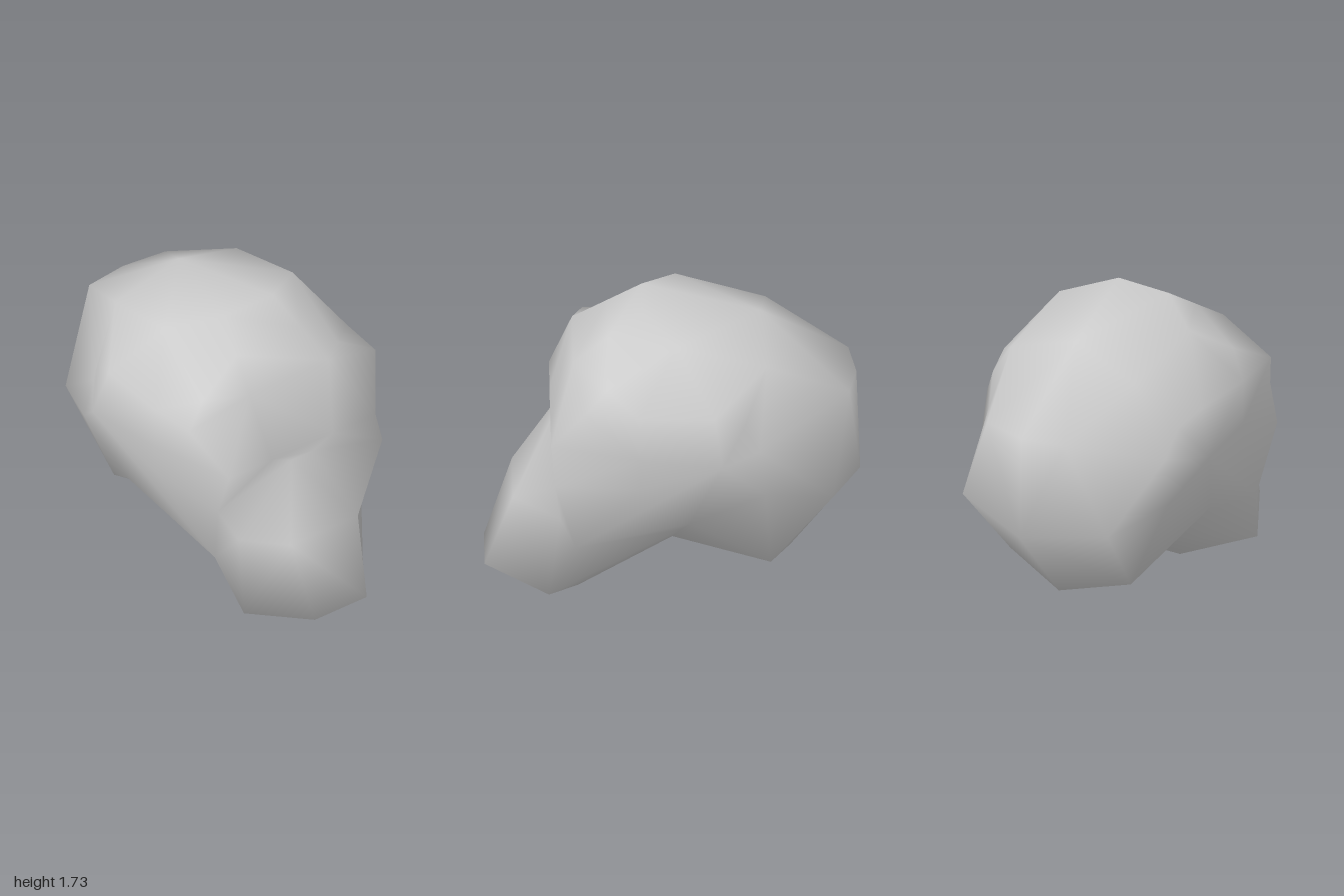
import * as THREE from 'three';
import { mergeVertices } from 'three/addons/utils/BufferGeometryUtils.js';

// Half profiles around the head, from snout tip over the crown and back under:
// each row lists [centre, middle, outer] points on the +x side.
const jawCorner = [0.39, 0.15, 0.66];
const snoutSide = [0.48, 0.48, 0.52];
const jawHinge = [0.61, 0.69, -0.09];
const browEnd = [0.63, 1.33, 0.18];
const rows = [
  [[0.17, 0.22, 1.00], jawCorner, snoutSide],                               // snout tip
  [[0.22, 0.65, 0.85], [0.38, 0.60, 0.60], snoutSide],                      // snout bridge
  [[0.07, 1.03, 0.65], [0.54, 0.88, 0.63], [0.62, 0.90, 0.18]],             // cheekbone
  [[0.20, 1.09, 0.65], [0.48, 1.09, 0.65], [0.63, 1.08, 0.18]],             // eye hollow
  [[0.26, 1.48, 0.53], [0.61, 1.35, 0.47], browEnd],                        // brow
  [[0.21, 1.605, 0.345], [0.445, 1.405, 0.355], browEnd],                   // dent behind the brow
  [[0.16, 1.73, 0.16], [0.42, 1.65, -0.02], [0.64, 1.33, -0.22]],           // crown
  [[0.00, 1.65, -0.47], [0.40, 1.52, -0.50], [0.60, 1.27, -0.38]],          // rear crown
  [[0.00, 1.28, -0.98], [0.25, 1.29, -0.94], [0.57, 1.10, -0.46]],          // back
  [[0.00, 0.70, -1.00], [0.47, 0.77, -0.85], [0.61, 0.86, -0.49]],          // lower back
  [[0.00, 0.24, -0.63], [0.39, 0.34, -0.52], jawHinge],                     // skull base
  [[0.00, 0.29, 0.00], [0.30, 0.49, -0.04], jawHinge],                      // throat
  [[0.00, 0.00, 0.50], jawCorner, snoutSide],                               // chin
];
const temple = [0.72, 1.08, -0.26];

const mirror = ([x, y, z]) => [-x, y, z];
const dist = (a, b) => Math.hypot(a[0] - b[0], a[1] - b[1], a[2] - b[2]);

function skin() {
  // Full strip of each row, from one temple across the centre to the other
  const strips = rows.map((r) => {
    const half = [...r, temple];
    return [...half.map(mirror).reverse(), ...half];
  });
  const pos = [];
  const tri = (a, b, c) => {
    if (Math.min(dist(a, b), dist(b, c), dist(c, a)) > 1e-5) pos.push(...a, ...b, ...c);
  };
  strips.forEach((s, k) => {
    const n = strips[(k + 1) % strips.length];
    for (let j = 0; j < s.length - 1; j++) {
      const a = s[j], b = s[j + 1], c = n[j + 1], d = n[j];
      const hollow = k === 1 && j === 2;   // the right cheek folds inwards
      if (hollow || dist(a, c) < dist(b, d) - 1e-6) { tri(a, b, c); tri(a, c, d); }
      else { tri(a, b, d); tri(b, c, d); }
    }
  });
  const g = new THREE.BufferGeometry();
  g.setAttribute('position', new THREE.Float32BufferAttribute(pos, 3));
  const merged = mergeVertices(g, 1e-4);
  merged.computeVertexNormals();   // smooth over the coarse faces
  return merged;
}

export function createModel() {
  const group = new THREE.Group();
  group.name = 'head';
  const grey = new THREE.MeshStandardMaterial({ color: 0xcccccc });
  grey.name = 'light grey';
  const skull = new THREE.Mesh(skin(), grey);
  skull.name = 'skull';
  group.add(skull);
  return group;
}
